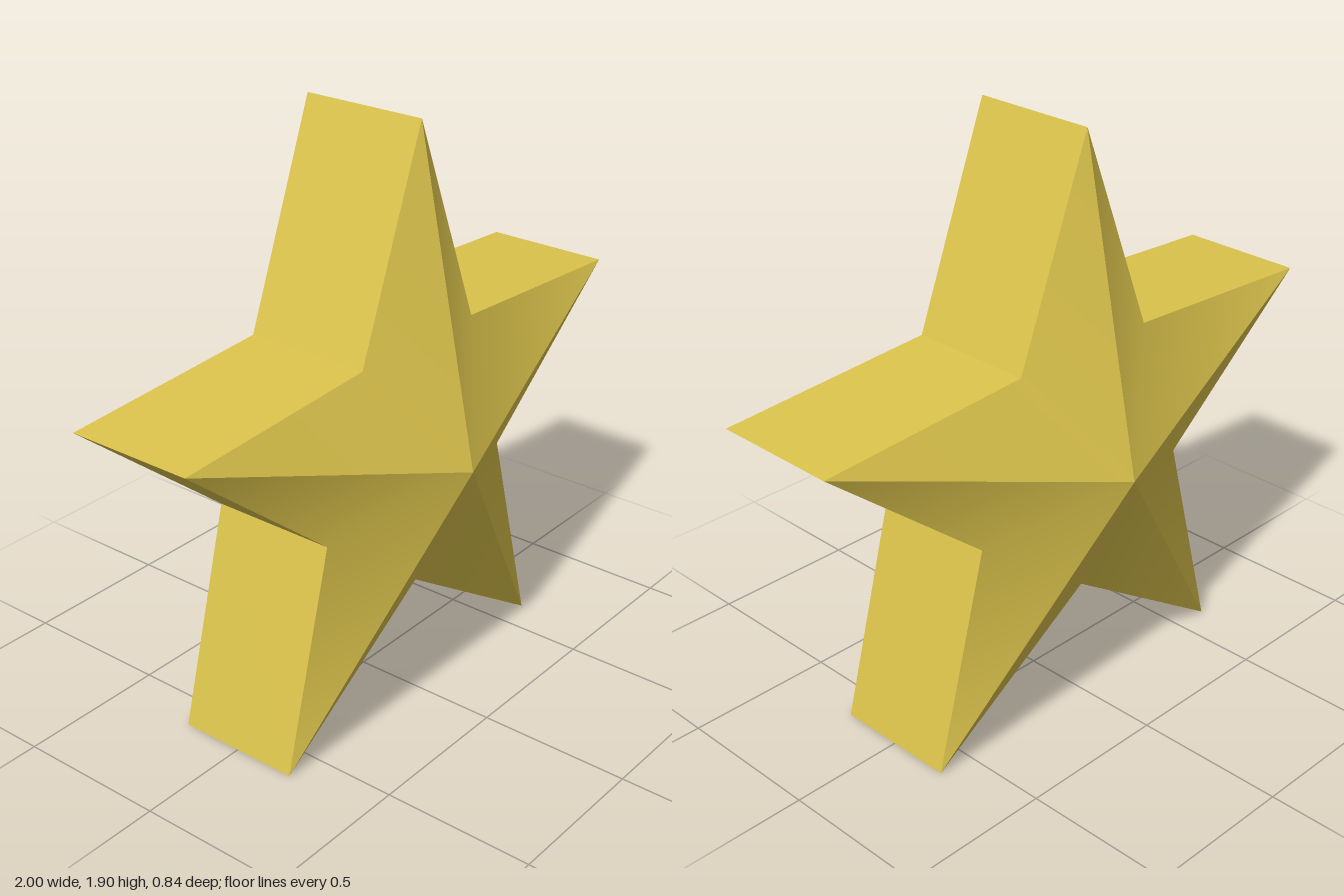
import * as THREE from 'three';
import { mergeGeometries } from 'three/addons/utils/BufferGeometryUtils.js';

const OUTER = 1 / Math.cos(Math.PI / 10); // arm tips reach x = +-1
const INNER = OUTER * 0.43;
const RIM = 0.21; // half thickness of the rim
const PEAK = 0.42; // height of the central peak

// Outline corner i of ten, counter-clockwise from the top tip (even = tip, odd = notch)
function corner(i, z) {
  const a = Math.PI / 2 + (i * Math.PI) / 5;
  const r = i % 2 ? INNER : OUTER;
  return new THREE.Vector3(Math.cos(a) * r, Math.sin(a) * r, z);
}

// Four-cornered panel a-b-c-d folded along a-c, with smooth shading over the fold
function panel(a, b, c, d) {
  const geometry = new THREE.BufferGeometry().setFromPoints([a, b, c, d]);
  geometry.setIndex([0, 1, 2, 0, 2, 3]);
  geometry.computeVertexNormals();
  return geometry;
}

export function createModel() {
  const model = new THREE.Group();
  const gold = new THREE.MeshStandardMaterial({ color: 0xdcc44c });
  gold.name = 'gold';

  // Pyramid face: five panels, each peak - tip - notch - next tip, sharp along the arm ridges
  const peak = new THREE.Vector3(0, 0, PEAK);
  const panels = [];
  for (let i = 0; i < 10; i += 2) {
    panels.push(panel(peak, corner(i, RIM), corner(i + 1, RIM), corner(i + 2, RIM)));
  }
  const faceGeometry = mergeGeometries(panels);

  // Straight rim walls around the outline
  const walls = [];
  for (let i = 0; i < 10; i++) {
    walls.push(panel(corner(i, -RIM), corner(i + 1, -RIM), corner(i + 1, RIM), corner(i, RIM)));
  }

  const frontFace = new THREE.Mesh(faceGeometry, gold);
  frontFace.name = 'frontFace';
  const backFace = new THREE.Mesh(faceGeometry, gold);
  backFace.name = 'backFace';
  backFace.rotation.y = Math.PI;
  const rim = new THREE.Mesh(mergeGeometries(walls), gold);
  rim.name = 'rim';

  const star = new THREE.Group();
  star.name = 'star';
  star.add(frontFace, backFace, rim);
  star.position.y = OUTER * Math.cos(Math.PI / 5); // lower tips stand on the ground
  model.add(star);
  return model;
}
